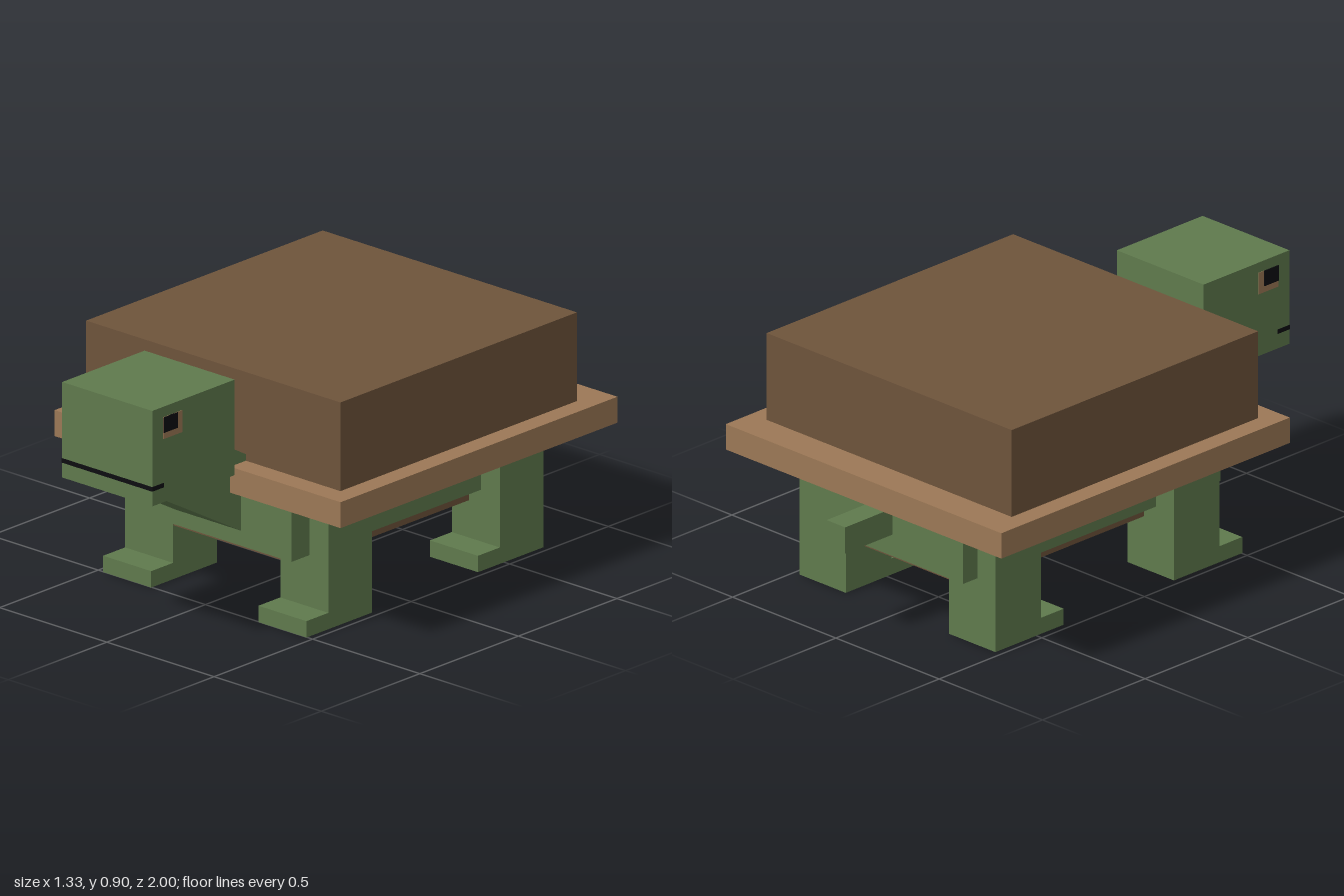
import * as THREE from 'three';

const material = (name, color) => {
  const m = new THREE.MeshStandardMaterial({ color });
  m.name = name;
  return m;
};

export function createModel() {
  const green = material('green skin', 0x5f7a4d);
  const brown = material('brown shell', 0x6e543b);
  const tan = material('tan rim', 0x9c7856);
  const black = material('black', 0x0d0d10);

  const model = new THREE.Group();
  model.name = 'turtle';

  // Box given by its extents along each axis
  const box = (name, mat, [x0, x1], [y0, y1], [z0, z1], parent = model) => {
    const mesh = new THREE.Mesh(new THREE.BoxGeometry(x1 - x0, y1 - y0, z1 - z0), mat);
    mesh.position.set((x0 + x1) / 2, (y0 + y1) / 2, (z0 + z1) / 2);
    mesh.name = name;
    parent.add(mesh);
    return mesh;
  };

  // Side profile of [z, y] points, extruded across x from x0 to x1
  const profile = (name, mat, points, x0, x1, parent = model) => {
    const shape = new THREE.Shape(points.map(([z, y]) => new THREE.Vector2(-z, y)));
    const geo = new THREE.ExtrudeGeometry(shape, { depth: x1 - x0, bevelEnabled: false });
    geo.rotateY(Math.PI / 2).translate(x0, 0, 0);
    const mesh = new THREE.Mesh(geo, mat);
    mesh.name = name;
    parent.add(mesh);
    return mesh;
  };

  // Shell, rim, body and belly
  box('shell', brown, [-0.593, 0.593], [0.555, 0.88], [-0.74, 0.46]);
  box('shellRim', tan, [-0.667, 0.667], [0.46, 0.555], [-0.865, 0.54]);
  box('body', green, [-0.387, 0.387], [0.25, 0.46], [-0.77, 0.485]);
  box('bellyPlate', brown, [-0.33, 0.33], [0.197, 0.25], [-0.69, 0.39]);
  box('tail', green, [-0.045, 0.045], [0.33, 0.428], [-1, -0.77]);

  // Legs with forward-pointing feet
  for (const [end, z] of [['front', 0.17], ['back', -0.7]]) {
    for (const [side, x] of [['Left', 0.25], ['Right', -0.474]]) {
      profile(`${end}${side}Leg`, green, [
        [z, 0], [z + 0.333, 0], [z + 0.333, 0.06],
        [z + 0.222, 0.06], [z + 0.222, 0.46], [z, 0.46],
      ], x, x + 0.224);
    }
  }

  // Slanted neck rising from the body into the head
  profile('neck', green, [
    [0.44, 0.28], [0.95, 0.567], [0.8, 0.774], [0.3, 0.487],
  ], -0.152, 0.152);

  // Head with mouth and eyes
  const head = new THREE.Group();
  head.name = 'head';
  model.add(head);
  box('skull', green, [-0.21, 0.21], [0.55, 0.9], [0.58, 0.998], head);
  box('mouth', black, [-0.212, 0.212], [0.605, 0.621], [0.94, 1], head);
  for (const [side, s] of [['left', 1], ['right', -1]]) {
    const plate = (name, mat, out, y, z) => {
      const mesh = box(name, mat, [0.209, 0.21 + out], y, z, head);
      mesh.position.x *= s;
    };
    plate(`${side}Eye`, tan, 0.002, [0.782, 0.862], [0.847, 0.943]);
    plate(`${side}Pupil`, black, 0.004, [0.805, 0.862], [0.873, 0.943]);
  }

  return model;
}
